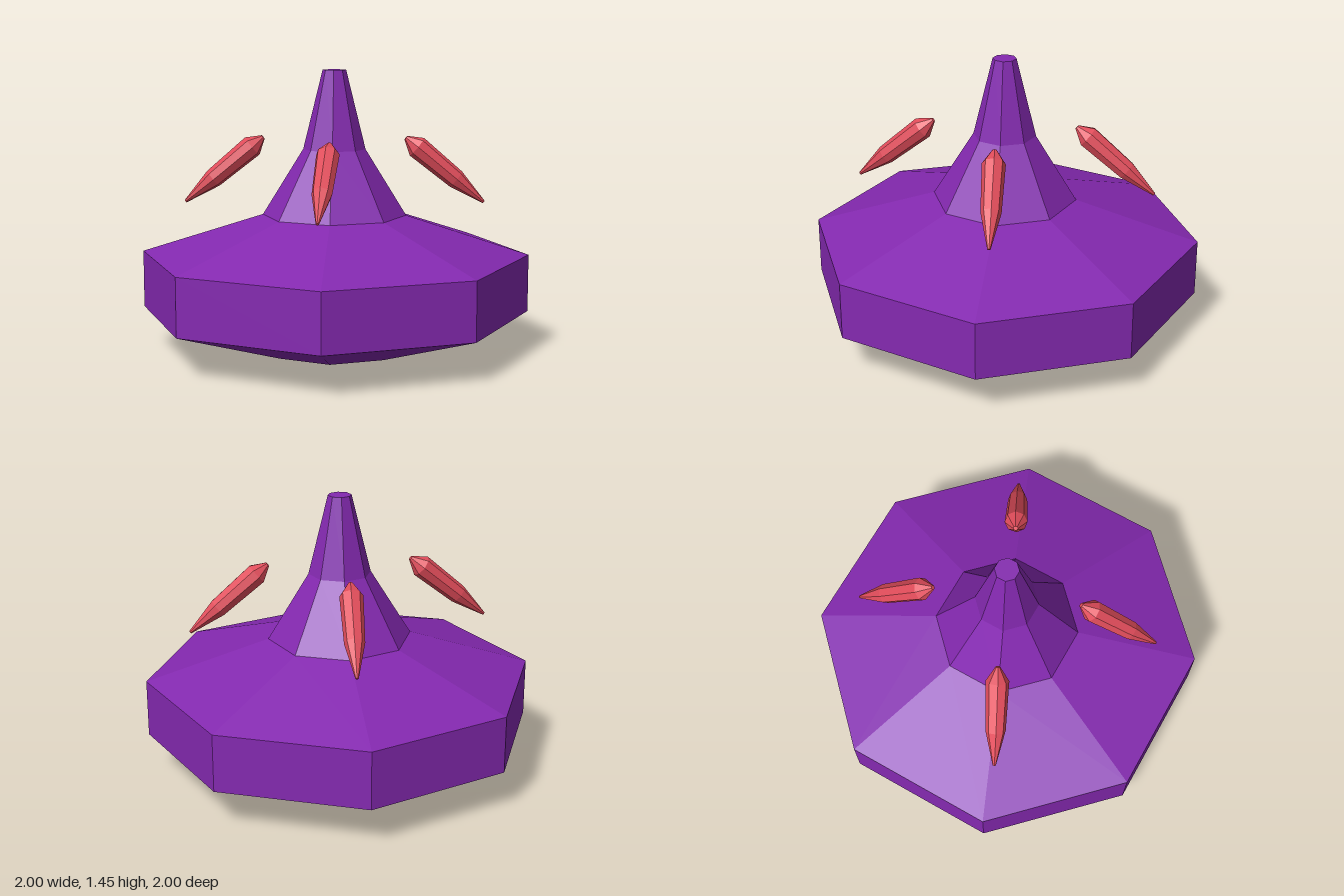
import * as THREE from 'three';

const purple = new THREE.MeshStandardMaterial({ color: 0x8429b0, flatShading: true });
const red = new THREE.MeshStandardMaterial({ color: 0xe04c5a, flatShading: true });

// Faceted solid of revolution from [radius, height] pairs, bottom to top
function turned(name, profile, sides, material) {
  const points = profile.map(([r, y]) => new THREE.Vector2(r, y));
  const geometry = new THREE.LatheGeometry(points, sides).toNonIndexed();
  geometry.computeVertexNormals();
  const mesh = new THREE.Mesh(geometry, material);
  mesh.name = name;
  return mesh;
}

export function createModel() {
  const model = new THREE.Group();
  model.name = 'crystalBase';

  // Octagonal disc
  model.add(turned('disc', [
    [0, 0], [0.37, 0], [1, 0.205], [1, 0.5], [0.37, 0.7],
  ], 8, purple));

  // Tapering spire with a flat top
  model.add(turned('spire', [
    [0.37, 0.7], [0.16, 1.04], [0.06, 1.445], [0, 1.445],
  ], 8, purple));

  // Four floating crystals, blunt end inward and up, long point outward and down
  const up = new THREE.Vector3(0, 1, 0);
  for (const sx of [1, -1]) {
    for (const sz of [1, -1]) {
      const inner = new THREE.Vector3(0.258 * sx, 1.1, 0.26 * sz);
      const tip = new THREE.Vector3(0.52 * sx, 0.768, 0.565 * sz);
      const axis = tip.clone().sub(inner);
      const length = axis.length();
      const crystal = turned('crystal', [
        [0, 0], [0.012, 0], [0.058, 0.14 * length], [0.05, 0.64 * length],
        [0.008, length], [0, length],
      ], 8, red);
      crystal.position.copy(inner);
      crystal.quaternion.setFromUnitVectors(up, axis.normalize());
      model.add(crystal);
    }
  }

  return model;
}
